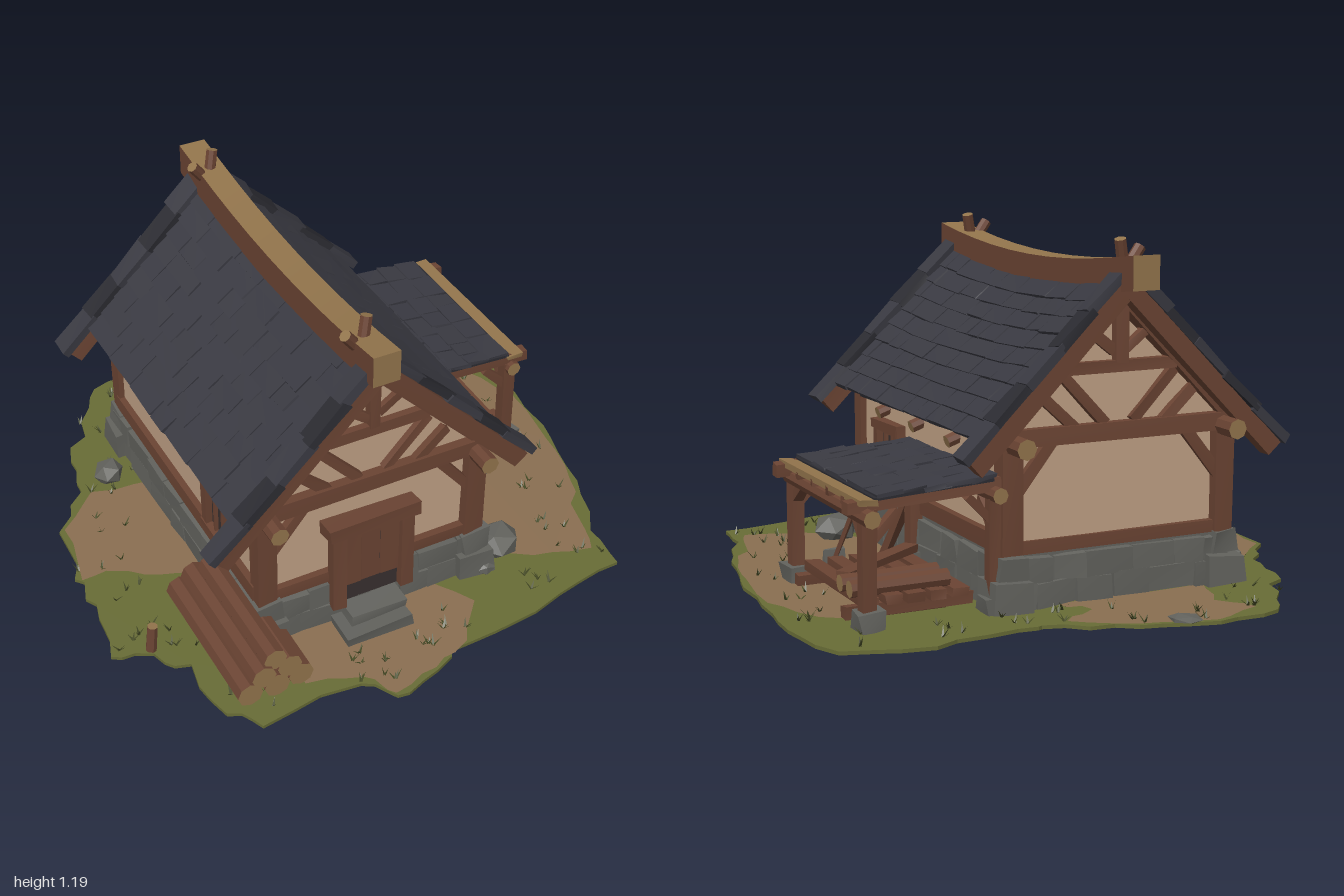
import * as THREE from 'three';

const mat = (name, color, side = THREE.FrontSide) => {
  const m = new THREE.MeshStandardMaterial({ color, side });
  m.name = name;
  return m;
};

export function createModel() {
  const plaster = mat('plaster', 0xc0a185), wood = mat('timber', 0x6b4433), tan = mat('cut wood', 0x93754c);
  const slate = mat('slate', 0x3a3a42), darkSlate = mat('dark slate', 0x2c2c32), stone = mat('stone', 0x63635e);
  const grass = mat('grass', 0x686c36), dirt = mat('dirt', 0x8a6f51);
  const blade = mat('grass blades', 0x474c26, THREE.DoubleSide), dark = mat('dark opening', 0x39302f);

  let seed = 7;
  const rnd = (a = 0, b = 1) => {
    seed = (seed * 16807) % 2147483647;
    return a + (b - a) * seed / 2147483647;
  };
  const root = new THREE.Group();
  root.name = 'cottage';
  const group = (name) => { const g = new THREE.Group(); g.name = name; root.add(g); return g; };
  const add = (parent, name, geo, m) => {
    const mesh = new THREE.Mesh(geo, m);
    mesh.name = name;
    parent.add(mesh);
    return mesh;
  };
  // box whose eight corners are nudged, for hand-hewn wood and stone
  const roughBox = (w, h, d, j = 0.004) => {
    const geo = new THREE.BoxGeometry(w, h, d), p = geo.attributes.position;
    const off = Array.from({ length: 8 }, () => [rnd(-j, j), rnd(-j, j), rnd(-j, j)]);
    for (let i = 0; i < p.count; i++) {
      const o = off[(p.getX(i) > 0) + 2 * (p.getY(i) > 0) + 4 * (p.getZ(i) > 0)];
      p.setXYZ(i, p.getX(i) + o[0], p.getY(i) + o[1], p.getZ(i) + o[2]);
    }
    geo.computeVertexNormals();
    return geo;
  };
  const block = (g, name, m, x, y, z, w, h, d, j) => {
    const b = add(g, name, roughBox(w, h, d, j), m);
    b.position.set(x, y, z);
    return b;
  };
  const span = (mesh, a, b) => {
    mesh.position.copy(a).add(b).multiplyScalar(0.5);
    mesh.lookAt(b);
    return mesh;
  };
  const V = (p) => new THREE.Vector3(...p);
  const beam = (g, name, a, b, w = 0.05, h = w, m = wood) =>
    span(add(g, name, roughBox(w, h, V(a).distanceTo(V(b))), m), V(a), V(b));
  const log = (g, name, a, b, r) => {
    const geo = new THREE.CylinderGeometry(r, r * 1.05, V(a).distanceTo(V(b)), 8).rotateX(Math.PI / 2).toNonIndexed();
    geo.computeVertexNormals();
    return span(add(g, name, geo, [wood, tan, tan]), V(a), V(b));
  };

  // ground: a ragged grass sheet with dirt patches and a dirt underside
  const rim = [[-.48, -.97], [-.25, -1], [0, -.93], [.2, -.82], [.35, -.8], [.64, -.85], [.92, -.77], [.98, -.5], [.96, -.2],
    [.93, .1], [.88, .35], [.77, .6], [.76, .78], [.5, .82], [.1, .88], [-.05, .94], [-.22, .98], [-.3, .88], [-.66, .9],
    [-.74, .8], [-.75, .55], [-.84, .45], [-.97, .4], [-.92, .15], [-.94, 0], [-.9, -.25], [-.75, -.42], [-.72, -.6], [-.6, -.8]];
  const ragged = (pts, j, n = 3) => {
    const out = [];
    pts.forEach(([x, z], i) => {
      const [u, v] = pts[(i + 1) % pts.length];
      for (let k = 0; k < n; k++) {
        const q = k ? j : 0;
        out.push(new THREE.Vector2(x + (u - x) * k / n + rnd(-q, q), -(z + (v - z) * k / n + rnd(-q, q))));
      }
    });
    return new THREE.Shape(out);
  };
  const ground = group('ground');
  const turf = ragged(rim, 0.022);
  add(ground, 'turf', new THREE.ExtrudeGeometry(turf, { depth: 0.012, bevelEnabled: false }).rotateX(-Math.PI / 2), grass)
    .position.y = 0.006;
  const under = add(ground, 'underside', new THREE.ShapeGeometry(ragged(rim.map(([x, z]) => [x * 0.93, -z * 0.93]), 0.02)).rotateX(Math.PI / 2), dirt);
  under.position.y = 0.004;
  const patches = [
    [[-.43, -.92], [-.25, -.99], [0, -.92], [.18, -.8], [.05, -.72], [.12, -.62], [-.42, -.62], [-.35, -.8]],
    [[-.88, -.25], [-.72, -.4], [-.5, -.36], [-.5, .2], [-.66, .12], [-.8, .03], [-.92, .02]],
    [[.3, -.1], [.72, -.5], [.85, -.42], [.94, -.2], [.91, .1], [.86, .33], [.77, .52], [.72, .68], [.52, .62], [.4, .55], [.3, .3]],
    [[-.45, .55], [.12, .55], [.22, .72], [.1, .87], [-.05, .93], [-.22, .97], [-.28, .86], [-.46, .8]]];
  patches.forEach((p) => { add(ground, 'dirtPatch', new THREE.ShapeGeometry(ragged(p, 0.015)).rotateX(-Math.PI / 2), dirt).position.y = 0.0205; });

  // grass tufts, clustered toward the rim
  const tri = [];
  for (let i = 0; i < 110; i++) {
    const [rx, rz] = rim[i % rim.length], k = rnd(0.78, 0.96);
    const x = rx * k + rnd(-.04, .04), z = rz * k + rnd(-.04, .04);
    for (let b = 0; b < 4; b++) {
      const a = rnd(0, 6.28), c = Math.cos(a), s = Math.sin(a), l = rnd(.01, .03);
      tri.push(x - s * .005, .018, z + c * .005, x + s * .005, .018, z - c * .005, x + c * l, .018 + rnd(.015, .035), z + s * l);
    }
  }
  const tufts = new THREE.BufferGeometry();
  tufts.setAttribute('position', new THREE.Float32BufferAttribute(tri, 3));
  tufts.computeVertexNormals();
  add(ground, 'grassTufts', tufts, blade);
  const rock = (x, z, r, h) => {
    const m = add(ground, 'rock', new THREE.IcosahedronGeometry(1, 0), stone);
    m.scale.set(r, h, r * 0.9); m.position.set(x, 0.02 + h * 0.5, z); m.rotation.y = x * 9;
  };
  [[.43, .52, .09, .06], [-.63, -.45, .06, .05], [.33, .6, .04, .03], [-.15, -.95, .06, .012], [-.55, .6, .04, .03], [.6, .0, .03, .02]]
    .forEach((r) => rock(...r));
  log(ground, 'stump', [-.84, .02, .43], [-.83, .12, .43], .018);

  // stone footing: a core wrapped in two courses of rough blocks
  const base = group('stoneFooting');
  block(base, 'core', stone, -.1, .11, -.025, .82, .17, 1.18, 0);
  const course = (len, place) => {
    for (let row = 0; row < 2; row++)
      for (let t = 0; t < len - 0.02;) {
        const w = Math.min(rnd(.09, .19), len - t);
        place(t + w / 2, .062 + row * .083, w - .006);
        t += w;
      }
  };
  for (const z of [.565, -.615]) course(.82, (t, y, w) => block(base, 'stone', stone, -.51 + t, y, z, w, .08, .045, .006));
  for (const x of [-.51, .31]) course(1.18, (t, y, w) => block(base, 'stone', stone, x, y, -.615 + t, .045, .08, w, .006));
  for (const x of [-.49, .29]) for (const z of [.55, -.6]) {
    block(base, 'cornerStone', stone, x, .07, z, .13, .1, .13, .01);
    block(base, 'cornerStone', stone, x, .16, z, .1, .08, .1, .01);
  }
  block(base, 'lowerStep', stone, -.14, .04, .66, .24, .04, .13, .008);
  block(base, 'upperStep', stone, -.12, .075, .62, .2, .04, .1, .006);

  // plastered body with gables
  const walls = group('walls');
  const body = new THREE.Shape([[-.5, .18], [.3, .18], [.3, .56], [-.1, .95], [-.5, .56]].map((p) => new THREE.Vector2(...p)));
  add(walls, 'plasterBody', new THREE.ExtrudeGeometry(body, { depth: 1.15, bevelEnabled: false }), plaster).position.z = -.6;

  // timber frame
  const frame = group('timberFrame');
  for (const z of [.555, -.605]) {
    beam(frame, 'tieBeam', [-.54, .565, z], [.34, .565, z], .06, .055);
    beam(frame, 'collar', [-.3, .77, z], [.1, .77, z], .045, .04);
    beam(frame, 'kingPost', [-.1, .78, z], [-.1, 1, z], .04, .05);
    beam(frame, 'sill', [-.48, .215, z], [.28, .215, z], .04, .04);
    for (const s of [-1, 1]) {
      const X = (d) => -.1 + s * d;
      block(frame, 'cornerPost', wood, X(.385), .38, z, .07, .37, .06);
      beam(frame, 'cornerBrace', [X(.37), .39, z], [X(.24), .55, z], .04, .035);
      beam(frame, 'fanStrut', [X(.05), .59, z], [X(.2), .75, z], .035, .035);
      beam(frame, 'outerStrut', [X(.16), .58, z], [X(.27), .68, z], .035, .035);
      beam(frame, 'gableRafter', [X(.42), .575, z], [X(.02), .985, z], .05, .06);
      beam(frame, 'upperStrut', [X(.02), .82, z], [X(.1), .88, z], .03, .03);
    }
  }
  for (const x of [-.5, .3]) {
    const s = Math.sign(x);
    beam(frame, 'sideSill', [x, .23, -.6], [x, .23, .55], .045, .055);
    log(frame, 'wallPlate', [x - s * .02, .55, -.72], [x - s * .02, .55, .67], .032);
    for (let i = 0; i < 4; i++) log(frame, 'rafterTail', [x - s * .05, .53, .32 - i * .29], [x + s * .04, .5, .32 - i * .29], .022);
    // side window
    const px = x + s * .003, o = x + s * .012;
    block(frame, 'windowOpening', dark, px, .35, .28, .008, .2, .17, 0);
    for (const z of [.19, .37]) block(frame, 'windowJamb', wood, o, .355, z, .04, .23, .035);
    for (const y of [.25, .455]) block(frame, 'windowRail', wood, o, y, .28, .045, .035, .22);
    for (const z of [.25, .31]) block(frame, 'mullion', wood, o, .35, z, .015, .2, .012, 0);
  }

  // door
  const door = group('door');
  block(door, 'opening', dark, -.115, .25, .585, .22, .3, .01, 0);
  for (let i = 0; i < 3; i++) block(door, 'plank', wood, -.185 + i * .07, .285, .59, .067, .23, .012, .002);
  for (const x of [-.24, .01]) block(door, 'jamb', wood, x, .26, .595, .045, .32, .05);
  block(door, 'lintel', wood, -.12, .435, .6, .33, .05, .07);

  // main roof, sagging toward the middle of the ridge
  const roof = group('roof');
  const AX = -.1, AY = 1.05, TH = Math.atan2(.49, .48);
  const sag = (geo) => {
    const p = geo.attributes.position;
    for (let i = 0; i < p.count; i++) {
      const u = (p.getZ(i) + .03) / .7;
      p.setY(i, p.getY(i) - .055 * Math.max(0, 1 - u * u) * THREE.MathUtils.clamp((p.getY(i) - .55) / .5, 0, 1));
    }
    geo.computeVertexNormals();
    return geo;
  };
  // places a piece at t down the slope of side s, raised off the roof plane
  const onSlope = (name, m, geo, s, t, lift, z, tilt = 0) => {
    geo.rotateZ(-s * (TH - tilt));
    geo.translate(AX + s * (Math.cos(TH) * t + Math.sin(TH) * lift), AY - Math.sin(TH) * t + Math.cos(TH) * lift, z);
    return add(roof, name, sag(geo), m);
  };
  for (const s of [-1, 1]) {
    onSlope('roofDeck', wood, new THREE.BoxGeometry(.67, .03, 1.22, 8, 1, 10), s, .335, -.015, -.02);
    onSlope('slateBed', darkSlate, new THREE.BoxGeometry(.67, .012, 1.22, 8, 1, 10), s, .335, .004, -.02);
    for (let row = 0; row < 9; row++)
      for (let z = -.62; z < .56;) {
        let w = rnd(.08, .22);
        if (z + w > .52) w = .58 - z;
        onSlope('slate', slate, roughBox(rnd(.088, .1), .016, w - .005, .003), s, .052 + row * .074, .017, z + w / 2, .1);
        z += w;
      }
    const len = s < 0 ? .81 : .77;
    for (const z of [.6, -.645]) {
      onSlope('bargeBoard', wood, roughBox(len, .06, .055), s, len / 2, -.012, z);
      for (let k = 0; k < 5; k++)
        onSlope('edgeSlate', k % 2 ? darkSlate : slate, roughBox(len / 5 + .015, .03, .075, .004), s, (k + .5) * len / 5, .033, z + rnd(-.005, .005), .03);
    }
  }
  const ridge = new THREE.BoxGeometry(.095, .11, 1.42, 1, 1, 10);
  ridge.translate(AX - .015, 1.075, -.04);
  add(roof, 'ridgeBeam', sag(ridge), [wood, wood, tan, wood, tan, tan]);
  for (const z of [.52, -.6]) {
    log(roof, 'ridgePeg', [-.08, 1.0, z], [-.19, 1.14, z + .02], .02);
    log(roof, 'ridgePeg', [-.14, 1.0, z + .02], [-.1, 1.17, z - .01], .02);
  }

  // lean-to shelter
  const shed = group('leanTo');
  for (const z of [.02, -.6]) {
    for (const x of [.335, .76]) {
      block(shed, 'post', wood, x, .23, z, .045, .32, .045);
      block(shed, 'postFoot', stone, x, .045, z, .085, .06, .085, .01);
      beam(shed, 'sideBrace', [x, .29, z], [x, .37, z + (z > 0 ? -.09 : .09)], .03);
    }
    beam(shed, 'crossBeam', [.32, .43, z], [.83, .4, z], .045, .04);
    beam(shed, 'brace', [.75, .29, z], [.66, .38, z], .03);
    beam(shed, 'brace', [.34, .31, z], [.43, .4, z], .03);
  }
  log(shed, 'eaveBeam', [.765, .37, -.66], [.765, .37, .06], .027);
  log(shed, 'wallBeam', [.34, .4, -.66], [.34, .4, .06], .025);
  beam(shed, 'eaveBoard', [.77, .418, -.64], [.77, .418, .05], .06, .018, tan);
  for (let i = 0; i < 4; i++) beam(shed, 'rafter', [.33, .428, -.5 + i * .13], [.8, .405, -.5 + i * .13], .025);
  const deck = block(shed, 'shedDeck', darkSlate, .55, .437, -.295, .4, .01, .68, 0);
  deck.rotation.z = -.055;
  for (let row = 0; row < 5; row++)
    for (let z = -.64; z < .03;) {
      const w = Math.min(rnd(.07, .15), .05 - z);
      block(shed, 'shedSlate', slate, .385 + row * .078, .455 - row * .0045, z + w / 2, rnd(.085, .095), .013, w - .006, .004).rotation.z = -.1;
      z += w;
    }

  // firewood and lumber under the shelter
  const lumber = group('lumber');
  for (const z of [-.08, -.5]) beam(lumber, 'bearer', [.37, .05, z], [.8, .05, z], .04);
  for (let i = 0; i < 5; i++) beam(lumber, 'plank', [.43 + i * .075, .085, -.56], [.42 + i * .077, .085, -.04], .055, .03);
  for (const [z, y] of [[-.42, .12], [-.5, .12], [-.46, .02]]) log(lumber, 'shortLog', [.45, y, z], [.78, y, z], .028);
  beam(lumber, 'looseBoard', [.4, .12, -.1], [.72, .11, -.3], .05, .025);
  beam(lumber, 'leaningPlank', [.38, .02, .18], [.345, .25, .04], .035, .025);

  // shovel
  const tool = group('shovel');
  beam(tool, 'handle', [.57, .05, .15], [.53, .28, .03], .016);
  block(tool, 'blade', stone, .575, .045, .165, .07, .05, .02, .006);

  // log pile beside the front corner: x, y, radius, front z, back z
  const pile = group('logPile');
  [[-.655, .06, .044, .8, .24], [-.56, .06, .045, .8, .36], [-.47, .06, .044, .79, .6], [-.61, .125, .042, .81, .26],
    [-.515, .125, .043, .8, .6], [-.565, .175, .04, .8, .3]]
    .forEach(([x, y, r, a, b]) => log(pile, 'log', [x, y, b], [x, y, a], r));
  return root;
}
